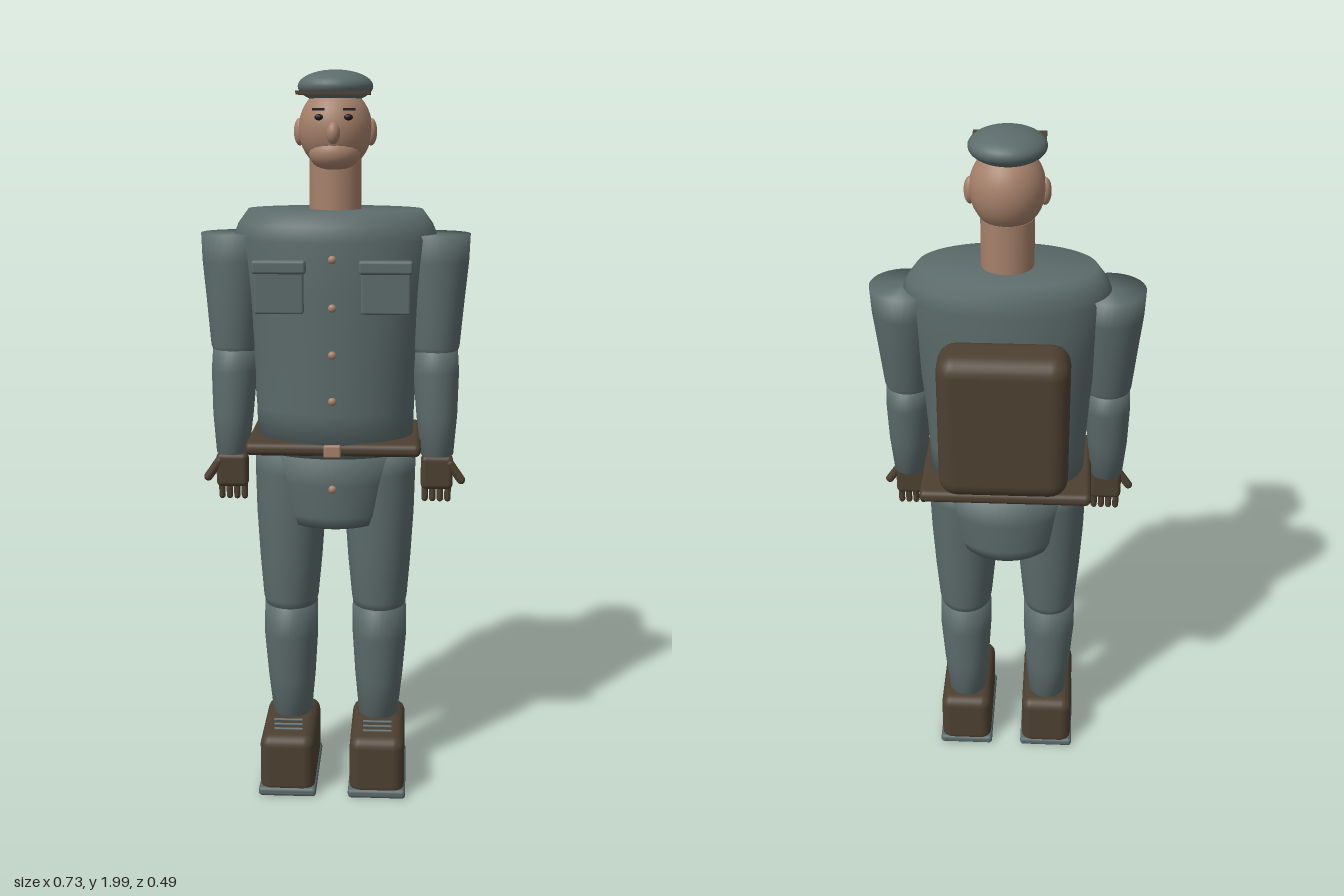
import * as THREE from 'three';
import { RoundedBoxGeometry } from 'three/addons/geometries/RoundedBoxGeometry.js';

const paint = (name, color) => {
  const m = new THREE.MeshStandardMaterial({ color });
  m.name = name;
  return m;
};

// Smooth closed body through elliptical rings [x, y, z, rx, rz], bottom to top.
function loft(rings, n = 32) {
  const first = rings[0], last = rings[rings.length - 1];
  const all = [[first[0], first[1], first[2], 0, 0], ...rings, [last[0], last[1], last[2], 0, 0]];
  const pos = [], index = [];
  all.forEach(([x, y, z, rx, rz]) => {
    for (let j = 0; j < n; j++) {
      const a = (j / n) * Math.PI * 2;
      pos.push(x + rx * Math.cos(a), y, z + rz * Math.sin(a));
    }
  });
  for (let i = 0; i < all.length - 1; i++) {
    for (let j = 0; j < n; j++) {
      const k = (j + 1) % n;
      const a = i * n + j, b = a + n, c = i * n + k, d = c + n;
      index.push(a, b, c, c, b, d);
    }
  }
  const g = new THREE.BufferGeometry();
  g.setAttribute('position', new THREE.Float32BufferAttribute(pos, 3));
  g.setIndex(index);
  g.computeVertexNormals();
  return g;
}

export function createModel() {
  const model = new THREE.Group();
  model.name = 'soldier';
  const cloth = paint('grey cloth', 0x5c6b6b);
  const leather = paint('brown leather', 0x4d4031);
  const skin = paint('skin', 0xa5806a);
  const dark = paint('dark', 0x1f1a18);

  const add = (name, geo, mat, x = 0, y = 0, z = 0) => {
    const m = new THREE.Mesh(geo, mat);
    m.name = name;
    m.position.set(x, y, z);
    model.add(m);
    return m;
  };
  const ball = (name, mat, x, y, z, rx, ry, rz) =>
    add(name, new THREE.SphereGeometry(1, 28, 20), mat, x, y, z).scale.set(rx, ry, rz);
  const box = (name, mat, x, y, z, w, h, d) => add(name, new THREE.BoxGeometry(w, h, d), mat, x, y, z);
  const round = (name, mat, x, y, z, w, h, d, r) =>
    add(name, new RoundedBoxGeometry(w, h, d, 3, r), mat, x, y, z);

  // Jacket and its skirt
  add('jacket', loft([
    [0, 0.98, 0.04, 0.215, 0.158], [0, 1.1, 0.04, 0.218, 0.16], [0, 1.25, 0.04, 0.228, 0.161],
    [0, 1.42, 0.04, 0.252, 0.162], [0, 1.56, 0.04, 0.279, 0.163], [0, 1.6, 0.038, 0.263, 0.153],
    [0, 1.638, 0.036, 0.235, 0.136],
  ], 48), cloth);
  add('jacketSkirt', loft([
    [0, 0.78, 0.038, 0.145, 0.147], [0, 0.81, 0.038, 0.165, 0.15], [0, 0.9, 0.038, 0.185, 0.155],
    [0, 1.0, 0.038, 0.212, 0.158],
  ], 48), cloth);

  // Belt, buckle and buttons
  round('belt', leather, 0, 1.005, 0.036, 0.475, 0.036, 0.332, 0.016);
  round('beltBuckle', skin, 0, 1.005, 0.207, 0.046, 0.034, 0.018, 0.005);
  for (const y of [0.895, 1.14, 1.265, 1.39, 1.517]) {
    ball('button', skin, 0, y, y < 1 ? 0.194 : 0.203, 0.011, 0.011, 0.009);
  }

  // Backpack
  round('backpack', leather, 0, 1.29, -0.175, 0.344, 0.42, 0.146, 0.05);

  // Neck, head and face
  add('neck', new THREE.CylinderGeometry(0.07, 0.07, 0.15, 32), skin, 0, 1.695, 0.04);
  ball('head', skin, 0, 1.848, 0.042, 0.098, 0.11, 0.1);
  ball('chin', skin, 0, 1.785, 0.08, 0.068, 0.048, 0.06);
  ball('nose', skin, 0, 1.838, 0.147, 0.018, 0.028, 0.02);

  // Cap with visor
  ball('cap', cloth, 0, 1.957, 0.042, 0.1, 0.043, 0.1);
  box('capVisor', leather, 0, 1.94, 0.122, 0.19, 0.01, 0.116);

  for (const s of [1, -1]) {
    // Face details
    ball('ear', skin, s * 0.095, 1.84, 0.038, 0.016, 0.036, 0.02);
    ball('eye', dark, s * 0.038, 1.878, 0.13, 0.012, 0.008, 0.008);
    box('eyebrow', dark, s * 0.04, 1.898, 0.125, 0.032, 0.007, 0.012);

    // Chest pocket with flap
    round('pocket', cloth, s * 0.14, 1.432, 0.2, 0.13, 0.115, 0.02, 0.006);
    round('pocketFlap', cloth, s * 0.14, 1.498, 0.205, 0.142, 0.036, 0.028, 0.008);

    // Arm: sleeve above and below the elbow
    add('upperSleeve', loft([
      [s * 0.275, 1.245, 0.062, 0.055, 0.058], [s * 0.275, 1.27, 0.061, 0.065, 0.067],
      [s * 0.274, 1.4, 0.05, 0.078, 0.083], [s * 0.272, 1.5, 0.042, 0.09, 0.093],
      [s * 0.271, 1.573, 0.038, 0.094, 0.096],
    ]), cloth);
    add('lowerSleeve', loft([
      [s * 0.283, 0.972, 0.082, 0.045, 0.048], [s * 0.281, 1.08, 0.074, 0.056, 0.059],
      [s * 0.277, 1.2, 0.064, 0.063, 0.068], [s * 0.276, 1.26, 0.061, 0.06, 0.065],
    ]), cloth);

    // Gloved hand: palm, four fingers, thumb
    round('palm', leather, s * 0.283, 0.925, 0.098, 0.088, 0.095, 0.046, 0.014);
    for (let i = 0; i < 4; i++) {
      add('finger', new THREE.CapsuleGeometry(0.009, 0.055, 4, 10), leather,
        s * (0.251 + i * 0.021), 0.874, 0.092);
    }
    const thumb = add('thumb', new THREE.CapsuleGeometry(0.012, 0.055, 4, 10), leather, s * 0.334, 0.928, 0.112);
    thumb.rotation.z = s * 0.6;

    // Trouser leg above and below the knee
    add('thigh', loft([
      [s * 0.126, 0.515, 0.048, 0.07, 0.08], [s * 0.126, 0.545, 0.048, 0.078, 0.088],
      [s * 0.125, 0.66, 0.048, 0.088, 0.097], [s * 0.124, 0.8, 0.046, 0.097, 0.106],
      [s * 0.123, 0.92, 0.042, 0.101, 0.11], [s * 0.122, 0.975, 0.04, 0.102, 0.112],
    ]), cloth);
    add('shin', loft([
      [s * 0.125, 0.17, 0.035, 0.055, 0.062], [s * 0.126, 0.3, 0.04, 0.068, 0.074],
      [s * 0.127, 0.43, 0.045, 0.077, 0.083], [s * 0.126, 0.525, 0.047, 0.076, 0.085],
    ]), cloth);

    // Boot with a welt running round the sole
    round('boot', leather, s * 0.126, 0.096, 0.091, 0.154, 0.176, 0.3, 0.032);
    box('sole', leather, s * 0.126, 0.016, 0.091, 0.14, 0.018, 0.285);
    for (const k of [-1, 1]) {
      round('weltSide', cloth, s * 0.126 + k * 0.07, 0.019, 0.092, 0.022, 0.026, 0.306, 0.01);
      round('weltEnd', cloth, s * 0.126, 0.019, 0.092 + k * 0.142, 0.162, 0.026, 0.022, 0.01);
    }

    // Laces
    for (let i = 0; i < 3; i++) {
      const lace = add('lace', new THREE.CylinderGeometry(0.004, 0.004, 0.08, 8), cloth,
        s * 0.126, 0.186 + i * 0.014, 0.185);
      lace.rotation.z = Math.PI / 2;
    }
  }
  return model;
}
